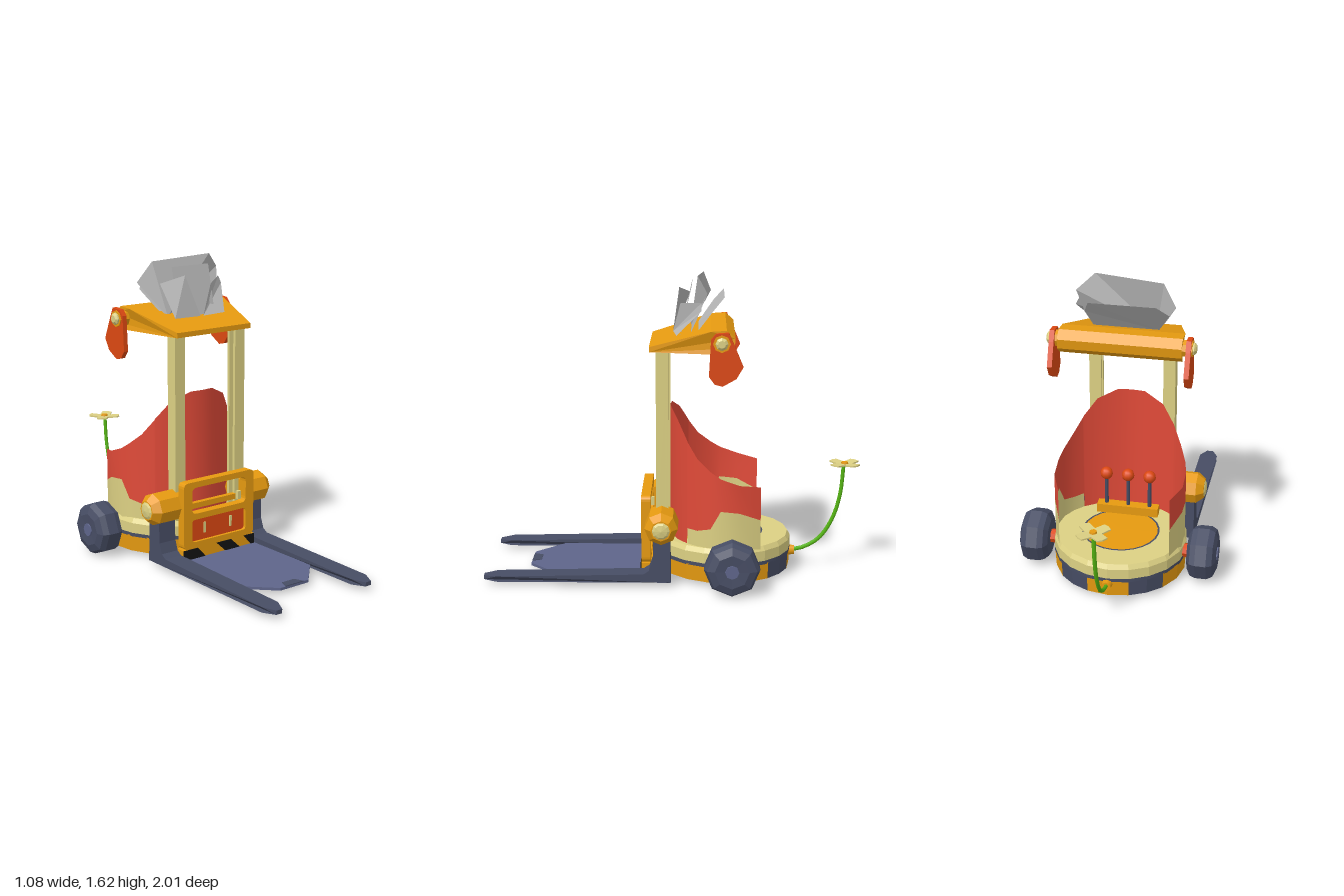
import * as THREE from 'three';

const mat = (name, color, side = THREE.DoubleSide) => {
  const m = new THREE.MeshStandardMaterial({ color, side });
  m.name = name;
  return m;
};
const M = {
  cream: mat('cream', 0xdcd083), orange: mat('orange', 0xe69a10), red: mat('red', 0xe04a38),
  vermilion: mat('vermilion', 0xdc4812), slate: mat('slate', 0x474d64), blue: mat('slateBlue', 0x5e658a),
  grey: mat('grey', 0xb9b9b9), green: mat('green', 0x55b512), black: mat('black', 0x131313),
};

// Faceted copy of a geometry
const flat = (g) => {
  const f = g.index ? g.toNonIndexed() : g;
  f.computeVertexNormals();
  return f;
};
const add = (parent, name, geo, material, x = 0, y = 0, z = 0) => {
  const m = new THREE.Mesh(geo, material);
  m.name = name;
  m.position.set(x, y, z);
  parent.add(m);
  return m;
};
const box = (p, name, m, w, h, d, x, y, z) => add(p, name, new THREE.BoxGeometry(w, h, d), m, x, y, z);
const shape = (pts) => new THREE.Shape(pts.map(([a, b]) => new THREE.Vector2(a, b)));
const extrude = (s, depth) =>
  new THREE.ExtrudeGeometry(s, { depth, bevelEnabled: false, curveSegments: 4 }).translate(0, 0, -depth / 2);
// Profile in (z, y), thickness along x
const sideExtrude = (pts, width) => extrude(shape(pts), width).rotateY(-Math.PI / 2);
// Turned profile of [radius, height]
const lathe = (pts, n, start = 0, len = Math.PI * 2) =>
  new THREE.LatheGeometry(pts.map(([a, b]) => new THREE.Vector2(a, b)), n, start, len);
const latheX = (pts, n) => flat(lathe(pts, n).rotateZ(-Math.PI / 2));
const roundRect = (P, w, h, r, cy) => {
  const a = w / 2, b = cy - h / 2, t = cy + h / 2, s = new P();
  s.moveTo(-a + r, b).lineTo(a - r, b).quadraticCurveTo(a, b, a, b + r).lineTo(a, t - r)
    .quadraticCurveTo(a, t, a - r, t).lineTo(-a + r, t).quadraticCurveTo(-a, t, -a, t - r)
    .lineTo(-a, b + r).quadraticCurveTo(-a, b, -a + r, b);
  return s;
};

// Curved wall strip; rows are [angle from the front in degrees, low y, high y]
function wallStrip(rows) {
  const pos = [], idx = [];
  rows.forEach(([deg, lo, hi], i) => {
    const t = THREE.MathUtils.degToRad(deg);
    for (const y of [lo, hi]) pos.push(0.35 * Math.sin(t), y, -0.3 + 0.315 * Math.cos(t));
    if (i) { const k = i * 2; idx.push(k - 2, k, k - 1, k, k + 1, k - 1); }
  });
  const g = new THREE.BufferGeometry();
  g.setAttribute('position', new THREE.Float32BufferAttribute(pos, 3));
  g.setIndex(idx);
  g.computeVertexNormals();
  return g;
}

// Flat polygon sheet in space, fanned from its first corner
function sheet(pts) {
  const g = new THREE.BufferGeometry(), idx = [];
  for (let i = 2; i < pts.length; i++) idx.push(0, i - 1, i);
  g.setAttribute('position', new THREE.Float32BufferAttribute(pts.flat(), 3));
  g.setIndex(idx);
  return flat(g);
}

function buildBase(root) {
  const base = new THREE.Group();
  base.name = 'base';
  base.position.z = -0.28;
  root.add(base);
  add(base, 'upperRing', flat(lathe([[0.36, 0.125], [0.36, 0.19], [0.345, 0.215], [0.21, 0.215]], 20)), M.cream);
  add(base, 'innerRing', lathe([[0.335, 0.04], [0.335, 0.21]], 20), M.cream);
  add(base, 'band', lathe([[0.361, 0.115], [0.361, 0.135]], 20), M.slate);
  add(base, 'seatRim', lathe([[0.21, 0.216], [0.2, 0.216]], 24), M.slate);
  add(base, 'seatDisc', lathe([[0.2, 0.216], [0, 0.218]], 24), M.orange);
  // Lower skirt: alternating colour sectors, angles measured from the front
  [[-130, 130, M.orange], [130, 162, M.slate], [162, 198, M.orange], [198, 230, M.slate]].forEach(([a, b, m]) => {
    const r = Math.PI / 180, n = Math.max(2, Math.round((b - a) / 18));
    add(base, 'skirt', flat(lathe([[0.33, 0.03], [0.355, 0.03], [0.36, 0.12]], n, a * r, (b - a) * r)), m);
  });
}

function buildWall(root) {
  const half = [[0, 0.92, 0.1], [12, 0.92, 0.1], [31, 0.87, 0.1], [45, 0.78, 0.1], [46, 0.77, 0.3], [58, 0.69, 0.3],
    [72, 0.63, 0.32], [82, 0.595, 0.42], [100, 0.56, 0.41], [122, 0.54, 0.36]];
  const full = [...half.slice(1).reverse().map(([a, h, c]) => [-a, h, c]), ...half];
  add(root, 'backrestWall', wallStrip(full.map(([a, h, c]) => [a, c, h])), M.red);
  for (const s of [1, -1]) {
    const rows = half.slice(4).map(([a, , c]) => [a * s, 0.1, c]);
    add(root, 'wallPatch', wallStrip(s > 0 ? rows : rows.reverse()), M.cream);
  }
}

function buildRoof(root) {
  // Canopy tapers towards the front
  const g = sideExtrude([[0.12, 1.245], [0.12, 1.272], [-0.2, 1.365], [-0.28, 1.37], [-0.325, 1.33],
    [-0.32, 1.28], [-0.28, 1.245]], 0.64);
  const p = g.attributes.position;
  for (let i = 0; i < p.count; i++) {
    const k = THREE.MathUtils.clamp((p.getZ(i) + 0.2) / 0.32, 0, 1);
    p.setX(i, p.getX(i) * (1 - 0.23 * k));
  }
  add(root, 'roof', flat(g), M.orange);
  // Leaning sheets on the roof
  [
    [[-0.15, 1.32, -0.09], [0.15, 1.32, -0.09], [0.22, 1.42, -0.13], [0.25, 1.55, -0.18], [0.16, 1.63, -0.13],
      [-0.2, 1.61, -0.16], [-0.27, 1.5, -0.2], [-0.2, 1.38, -0.13]],
    [[-0.17, 1.34, -0.13], [0.17, 1.34, -0.13], [0.2, 1.45, -0.21], [0.17, 1.52, -0.27], [-0.18, 1.52, -0.27], [-0.24, 1.46, -0.22]],
    [[-0.12, 1.31, -0.04], [0.13, 1.31, -0.04], [0.13, 1.58, -0.1], [-0.115, 1.58, -0.1]],
    [[-0.16, 1.32, -0.01], [0, 1.32, 0], [-0.08, 1.54, -0.03], [-0.2, 1.5, -0.09]],
    [[0.02, 1.32, 0], [0.18, 1.32, -0.02], [0.26, 1.46, -0.15], [0.24, 1.5, -0.15], [0.1, 1.48, -0.04]],
  ].forEach((pts) => add(root, 'roofSheet', sheet(pts), M.grey));
}

// Everything that exists once on each side
function buildSide(sign) {
  const s = new THREE.Group();
  s.name = sign > 0 ? 'leftSide' : 'rightSide';
  s.scale.x = sign;

  // Mast post as a channel open to the inside
  box(s, 'mastWeb', M.cream, 0.025, 1.02, 0.065, 0.2225, 0.755, 0.053);
  for (const z of [0.029, 0.077]) box(s, 'mastFlange', M.cream, 0.065, 1.02, 0.017, 0.2025, 0.755, z);

  // Fork arm with a pointed tip
  const fork = sideExtrude([[1, 0.03], [1, 0.052], [0.93, 0.057], [0.15, 0.075], [0.12, 0.095], [0.1, 0.15], [0.095, 0.3],
    [0.01, 0.3], [0.005, 0.03], [0.93, 0.028]], 0.105);
  const p = fork.attributes.position;
  for (let i = 0; i < p.count; i++) if (p.getZ(i) > 0.99) p.setX(i, p.getX(i) * 0.35);
  add(s, 'fork', flat(fork), M.slate, 0.302);

  // Lift motor
  add(s, 'liftMotor', latheX([[0, 0.2], [0.088, 0.2], [0.088, 0.365], [0.055, 0.405], [0, 0.405]], 8), M.orange, 0, 0.33, 0.055);
  add(s, 'motorCap', latheX([[0.052, 0.402], [0.035, 0.412], [0, 0.418]], 10), M.cream, 0, 0.33, 0.055);

  // Wheel
  add(s, 'tyre', latheX([[0, 0.38], [0.1, 0.38], [0.135, 0.4], [0.146, 0.43], [0.146, 0.49], [0.13, 0.52],
    [0.09, 0.535], [0, 0.53]], 8), M.slate, 0, 0.153, -0.315);
  add(s, 'hub', latheX([[0.038, 0.525], [0.036, 0.538], [0, 0.538]], 8), M.blue, 0, 0.153, -0.315);
  add(s, 'axle', latheX([[0.038, 0.3], [0.038, 0.39]], 8), M.vermilion, 0, 0.153, -0.315);

  // Hanging flap with its bolt
  add(s, 'flap', sideExtrude([[-0.2, 1.33], [-0.225, 1.36], [-0.29, 1.365], [-0.315, 1.31], [-0.365, 1.19], [-0.33, 1.13],
    [-0.26, 1.09], [-0.22, 1.1], [-0.19, 1.14]], 0.026), M.vermilion, 0.352);
  add(s, 'boltWasher', latheX([[0.045, 0.31], [0.045, 0.37], [0, 0.37]], 8), M.orange, 0, 1.31, -0.255);
  add(s, 'bolt', latheX([[0.033, 0.36], [0.033, 0.378], [0.02, 0.388], [0, 0.388]], 8), M.cream, 0, 1.31, -0.255);
  return s;
}

function buildCarriage(root) {
  // Frame with a window above and a panel recess below
  const frame = roundRect(THREE.Shape, 0.48, 0.37, 0.03, 0.285);
  frame.holes.push(roundRect(THREE.Path, 0.37, 0.145, 0.03, 0.365), roundRect(THREE.Path, 0.37, 0.125, 0.02, 0.197));
  add(root, 'carriageFrame', extrude(frame, 0.05), M.orange, 0, 0, 0.14);
  box(root, 'panel', M.vermilion, 0.4, 0.14, 0.02, 0, 0.197, 0.138);
  for (const x of [-0.09, 0.09]) box(root, 'panelSlit', M.cream, 0.014, 0.06, 0.006, x, 0.2, 0.15);
  for (const x of [-0.17, 0.17]) box(root, 'windowCatch', M.cream, 0.022, 0.045, 0.02, x, 0.325, 0.12);
  box(root, 'crossBar', M.orange, 0.48, 0.03, 0.03, 0, 0.31, 0.08);

  // Bumper with slanted stripes
  box(root, 'bumper', M.orange, 0.49, 0.065, 0.06, 0, 0.068, 0.135);
  [[[-0.245, 0.036], [-0.09, 0.036], [-0.15, 0.1], [-0.245, 0.1]], [[0.05, 0.036], [0.15, 0.036], [0.08, 0.1], [-0.02, 0.1]],
    [[0.23, 0.036], [0.245, 0.036], [0.245, 0.1], [0.17, 0.1]]].forEach((pts) =>
    add(root, 'bumperStripe', extrude(shape(pts), 0.004), M.black, 0, 0, 0.167));

  // Loading plate between the forks
  const plate = shape([[-0.25, -0.1], [0.25, -0.1], [0.25, -0.62], [0.095, -0.775], [-0.095, -0.775], [-0.25, -0.62]]);
  add(root, 'loadingPlate', extrude(plate, 0.014).rotateX(-Math.PI / 2), M.blue, 0, 0.037, 0);
  const notch = shape([[-0.06, -0.775], [0.06, -0.775], [0.04, -0.725], [-0.04, -0.725]]);
  add(root, 'plateNotch', extrude(notch, 0.004).rotateX(-Math.PI / 2), M.slate, 0, 0.045, 0);
}

function buildLevers(root) {
  box(root, 'leverBase', M.orange, 0.34, 0.05, 0.06, 0, 0.24, -0.09);
  for (const x of [-0.12, 0, 0.12]) {
    add(root, 'leverStick', new THREE.CylinderGeometry(0.01, 0.012, 0.39, 6), M.slate, x, 0.25, -0.09);
    add(root, 'leverKnob', new THREE.SphereGeometry(0.035, 10, 8), M.vermilion, x, 0.45, -0.09);
  }
}

function buildFlower(root) {
  const path = [[-0.63, 0.1], [-0.71, 0.115], [-0.8, 0.17], [-0.87, 0.28], [-0.91, 0.42], [-0.925, 0.585]];
  const curve = new THREE.CatmullRomCurve3(path.map(([z, y]) => new THREE.Vector3(0, y, z)));
  add(root, 'stem', new THREE.TubeGeometry(curve, 16, 0.011, 6), M.green);
  add(root, 'stemSocket', new THREE.CylinderGeometry(0.026, 0.03, 0.04, 8).rotateX(-Math.PI / 2), M.orange, 0, 0.1, -0.645);
  const petal = flat(new THREE.BufferGeometry().copy(
    extrude(shape([[0, 0.008], [0.03, 0.03], [0.088, 0.028], [0.094, 0], [0.088, -0.028], [0.03, -0.03], [0, -0.008]]), 0.008)
      .rotateX(-Math.PI / 2).rotateZ(0.08).scale(0.96, 1, 1)));
  for (let i = 0; i < 4; i++) add(root, 'petal', petal, M.cream, 0, 0.588, -0.93).rotation.y = Math.PI / 4 + i * Math.PI / 2;
  add(root, 'flowerCentre', new THREE.CylinderGeometry(0.018, 0.022, 0.02, 8), M.orange, 0, 0.593, -0.93);
}

export function createModel() {
  const root = new THREE.Group();
  root.name = 'forklift';
  [buildBase, buildWall, buildRoof, buildCarriage, buildLevers, buildFlower].forEach((f) => f(root));
  root.add(buildSide(1), buildSide(-1));
  return root;
}
